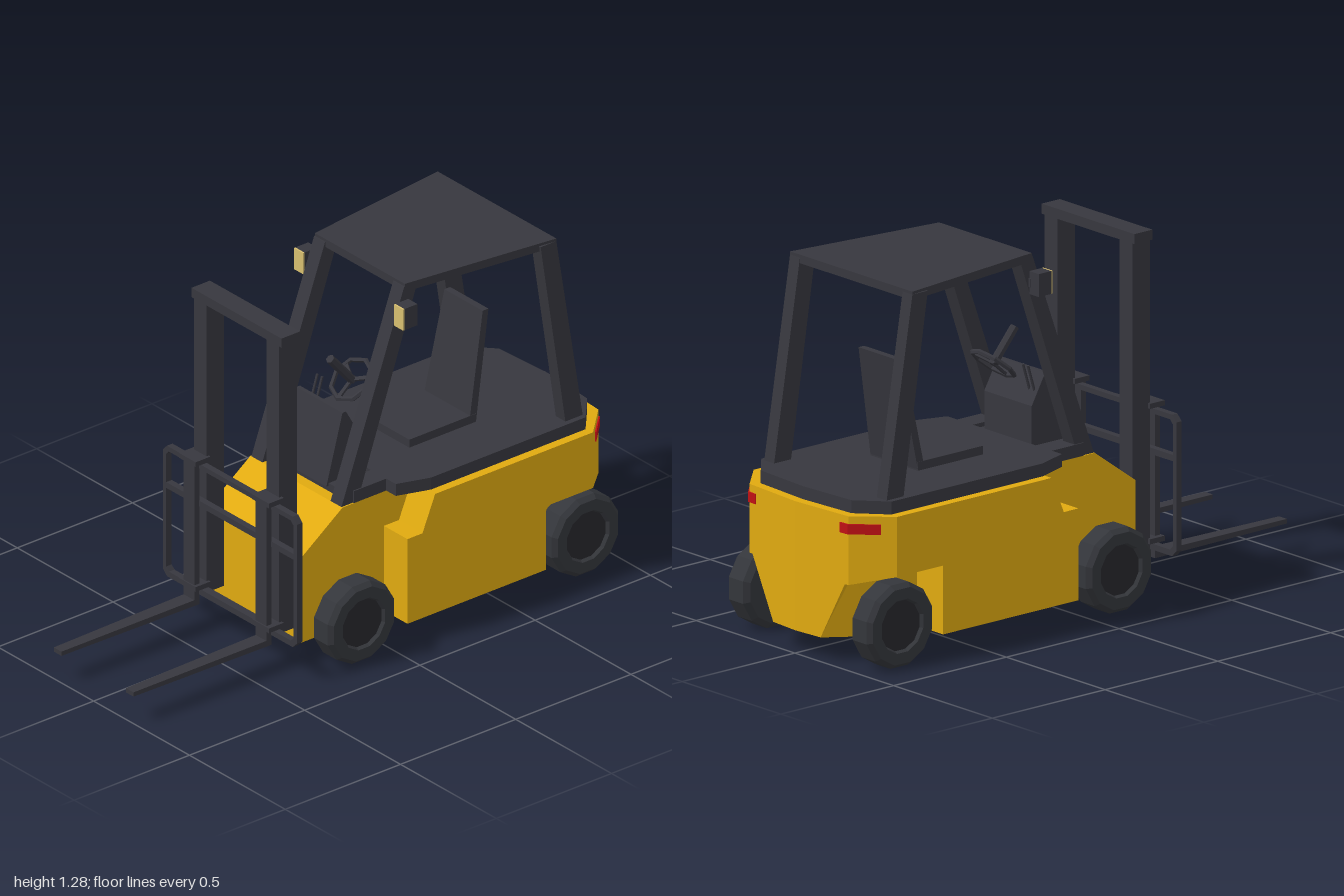
import * as THREE from 'three';

const mat = (name, color) => {
  const m = new THREE.MeshStandardMaterial({ color });
  m.name = name;
  return m;
};

export function createModel() {
  const yellow = mat('yellow paint', 0xe0aa10);
  const dark = mat('charcoal metal', 0x37373e);
  const rubber = mat('tyre rubber', 0x34363b);
  const hubMat = mat('hub black', 0x27272c);
  const lamp = mat('lamp cream', 0xd8bf70);
  const red = mat('tail light red', 0xc01014);
  const root = new THREE.Group();

  const add = (name, geo, material, parent = root) => {
    let g = geo;
    if (g.index) g = g.toNonIndexed();
    g.computeVertexNormals(); // faceted look
    const mesh = new THREE.Mesh(g, material);
    mesh.name = name;
    parent.add(mesh);
    return mesh;
  };
  const box = (name, x0, x1, y0, y1, z0, z1, material = dark, parent = root) => add(name,
    new THREE.BoxGeometry(x1 - x0, y1 - y0, z1 - z0)
      .translate((x0 + x1) / 2, (y0 + y1) / 2, (z0 + z1) / 2), material, parent);

  // Solid between two convex rings of [x, y, z]; turned outward by its signed volume
  const loft = (a, b) => {
    const tris = [], n = a.length;
    for (let i = 0; i < n; i++) {
      const j = (i + 1) % n;
      tris.push([a[i], a[j], b[j]], [a[i], b[j], b[i]]);
      if (i > 0 && i < n - 1) tris.push([a[0], a[i + 1], a[i]], [b[0], b[i], b[i + 1]]);
    }
    const o = new THREE.Vector3(...a[0]);
    const v = p => new THREE.Vector3(...p).sub(o);
    const vol = tris.reduce((s, t) => s + v(t[0]).dot(v(t[1]).cross(v(t[2]))), 0);
    const pos = tris.flatMap(t => (vol < 0 ? [t[0], t[2], t[1]] : t).flat());
    const g = new THREE.BufferGeometry();
    g.setAttribute('position', new THREE.Float32BufferAttribute(pos, 3));
    return g;
  };
  // Mirrors a half outline of [x, z] or [x, z, y] into a full ring
  const ring = (half, y) => {
    const r = half.map(p => [p[0], p[2] ?? y, p[1]]);
    return r.concat(r.filter(p => p[0] > 0).reverse().map(p => [-p[0], p[1], p[2]]));
  };
  const plate = (half, y0, y1) => loft(ring(half, y0), ring(half, y1));
  const rect = (x0, x1, y, z0, z1) => [[x0, y, z0], [x1, y, z0], [x1, y, z1], [x0, y, z1]];
  // Side profile of [z, y] swept across the width
  const sideProfile = (pts, halfWidth) => {
    const s = new THREE.Shape(pts.map(([z, y]) => new THREE.Vector2(-z, y)));
    return new THREE.ExtrudeGeometry(s, { depth: halfWidth * 2, bevelEnabled: false })
      .translate(0, 0, -halfWidth).rotateY(Math.PI / 2);
  };

  // Bodywork
  add('frontBody', sideProfile([[0.3, 0.08], [0.3, 0.4], [0.12, 0.53], [-0.2, 0.53], [-0.2, 0.08]], 0.24), yellow);
  add('midBody', sideProfile([[-0.06, 0.08], [-0.06, 0.4], [-0.125, 0.4], [-0.18, 0.53],
    [-0.66, 0.53], [-0.66, 0.08]], 0.363), yellow);
  add('counterweight', loft(
    ring([[0.363, -0.66, 0.32], [0.363, -0.865, 0.32], [0.25, -0.982, 0.29], [0, -1, 0.29]]),
    ring([[0.363, -0.66], [0.363, -0.865], [0.25, -0.982], [0, -1]], 0.53)), yellow);
  add('rearUnderbody', loft(
    ring([[0.23, -0.66], [0.23, -0.84], [0.12, -0.991], [0, -1]], 0.08),
    ring([[0.23, -0.66], [0.23, -0.94], [0.25, -0.982], [0, -1]], 0.32)), yellow);

  // Deck and cab floor
  add('deck', plate([[0.29, -0.07], [0.33, -0.19], [0.33, -0.86], [0.23, -0.95], [0, -0.965]], 0.53, 0.575), dark);
  box('cabFloor', -0.235, 0.235, 0.52, 0.56, -0.1, 0.08);

  // Dashboard, steering wheel and levers
  add('dashboard', sideProfile([[0.09, 0.55], [0.02, 0.805], [0.005, 0.805], [-0.055, 0.7], [-0.055, 0.55]], 0.12), dark);
  const steering = new THREE.Group();
  steering.name = 'steeringWheel';
  steering.position.set(0, 0.835, -0.12);
  steering.rotation.x = -0.86 + Math.PI; // axis points up and back
  root.add(steering);
  add('steeringRim', new THREE.TorusGeometry(0.08, 0.009, 5, 8), dark, steering);
  for (let i = 0; i < 3; i++) {
    add('steeringSpoke', new THREE.BoxGeometry(0.014, 0.08, 0.008).translate(0, 0.04, 0)
      .rotateZ(i * Math.PI * 2 / 3), dark, steering);
  }
  add('steeringColumn', new THREE.CylinderGeometry(0.016, 0.016, 0.15, 6)
    .rotateX(Math.PI / 2).translate(0, 0, -0.07), dark, steering);
  for (const x of [-0.1, -0.075]) {
    add('lever', new THREE.CylinderGeometry(0.005, 0.005, 0.13, 6)
      .rotateX(-0.3).translate(x, 0.775, -0.035), dark);
  }

  // Seat
  add('seatCushion', loft(rect(-0.12, 0.12, 0.57, -0.56, -0.27), rect(-0.12, 0.12, 0.605, -0.56, -0.27)), dark);
  add('seatBack', loft(rect(-0.12, 0.12, 0.58, -0.56, -0.53), rect(-0.1, 0.1, 0.97, -0.63, -0.605)), dark);

  // Overhead guard
  add('roof', plate([[0.235, -0.155], [0.31, -0.75]], 1.25, 1.28), dark);

  // Wheel: twelve-sided tyre with chamfered shoulders and recessed hub, axis along x
  const lathe = pts => new THREE.LatheGeometry(pts.map(p => new THREE.Vector2(...p)), 12)
    .rotateY(Math.PI / 12).rotateZ(-Math.PI / 2);
  const tyre = () => lathe([[0, -0.052], [0.13, -0.052], [0.15, -0.035], [0.15, 0.035],
    [0.135, 0.052], [0.095, 0.052], [0.088, 0.04]]);
  const hub = () => lathe([[0.09, 0.04], [0, 0.043]]);

  // Parts repeated on both sides
  for (const s of [1, -1]) {
    const side = s > 0 ? 'left' : 'right';
    const sx = (a, b) => [Math.min(s * a, s * b), Math.max(s * a, s * b)];

    for (const [end, z] of [['Front', 0.13], ['Rear', -0.842]]) {
      const wheel = new THREE.Group();
      wheel.name = side + end + 'Wheel';
      wheel.position.set(s * 0.313, 0.145, z);
      if (s < 0) wheel.rotation.y = Math.PI;
      root.add(wheel);
      add('tyre', tyre(), rubber, wheel);
      add('hub', hub(), hubMat, wheel);
      box(side + end + 'Axle', ...sx(0.2, 0.28), 0.115, 0.175, z - 0.03, z + 0.03, hubMat);
    }

    // Guard pillars
    const [f0, f1] = sx(0.178, 0.235), [r0, r1] = sx(0.26, 0.31);
    add(side + 'FrontPillar', loft(rect(f0, f1, 0.53, 0.05, 0.12), rect(f0, f1, 1.27, -0.21, -0.152)), dark);
    add(side + 'RearPillar', loft(rect(r0, r1, 0.57, -0.865, -0.79), rect(r0, r1, 1.27, -0.75, -0.682)), dark);
    box(side + 'PillarFoot', ...sx(0.16, 0.24), 0.53, 0.575, -0.08, 0.07);

    // Headlight with bracket
    box(side + 'LampBracket', ...sx(0.22, 0.245), 1.165, 1.195, -0.17, -0.13);
    box(side + 'LampHousing', ...sx(0.237, 0.285), 1.14, 1.22, -0.168, -0.112);
    box(side + 'LampLens', ...sx(0.237, 0.285), 1.14, 1.22, -0.112, -0.106, lamp);

    // Tail light wrapping the rear corner
    const tail = y => [[0.325, -0.902], [0.25, -0.98], [0.215, -0.983], [0.213, -0.989], [0.252, -0.987], [0.33, -0.907]]
      .map(([x, z]) => [s * x, y, z]);
    const lower = tail(0.468), upper = tail(0.503);
    for (const q of [[0, 1, 4, 5], [1, 2, 3, 4]]) {
      add(side + 'TailLight', loft(q.map(i => lower[i]), q.map(i => upper[i])), red);
    }

    // Mast rail, carriage clamps and fork
    box(side + 'MastRail', ...sx(0.157, 0.223), 0.135, 1.24, 0.303, 0.38);
    box(side + 'UpperClamp', ...sx(0.147, 0.235), 0.632, 0.65, 0.37, 0.435);
    box(side + 'LowerClamp', ...sx(0.147, 0.235), 0.16, 0.178, 0.37, 0.435);
    box(side + 'ForkUpright', ...sx(0.16, 0.216), 0.1, 0.645, 0.408, 0.43);
    const [a0, a1] = sx(0.16, 0.216), [b0, b1] = sx(0.168, 0.208);
    add(side + 'Fork', loft(
      [[a0, 0.1, 0.42], [a1, 0.1, 0.42], [a1, 0.122, 0.42], [a0, 0.122, 0.42]],
      [[b0, 0.102, 1], [b1, 0.102, 1], [b1, 0.118, 1], [b0, 0.118, 1]]), dark);
  }

  // Mast crossbars
  box('mastTopBar', -0.235, 0.235, 1.22, 1.255, 0.3, 0.38);
  box('mastLowerBar', -0.16, 0.16, 0.14, 0.16, 0.38, 0.41);

  // Load guard frame with clipped corners
  const clipped = (w, y0, y1, c) => [[w - c, y0], [w, y0 + c], [w, y1 - c], [w - c, y1],
    [-w + c, y1], [-w, y1 - c], [-w, y0 + c], [-w + c, y0]].map(p => new THREE.Vector2(...p));
  const frame = new THREE.Shape(clipped(0.35, 0.137, 0.63, 0.022));
  frame.holes.push(new THREE.Path(clipped(0.332, 0.158, 0.612, 0.014).reverse()));
  add('loadGuardFrame', new THREE.ExtrudeGeometry(frame, { depth: 0.024, bevelEnabled: false })
    .translate(0, 0, 0.385), dark);
  box('loadGuardRail', -0.34, 0.34, 0.469, 0.491, 0.385, 0.409);

  return root;
}
